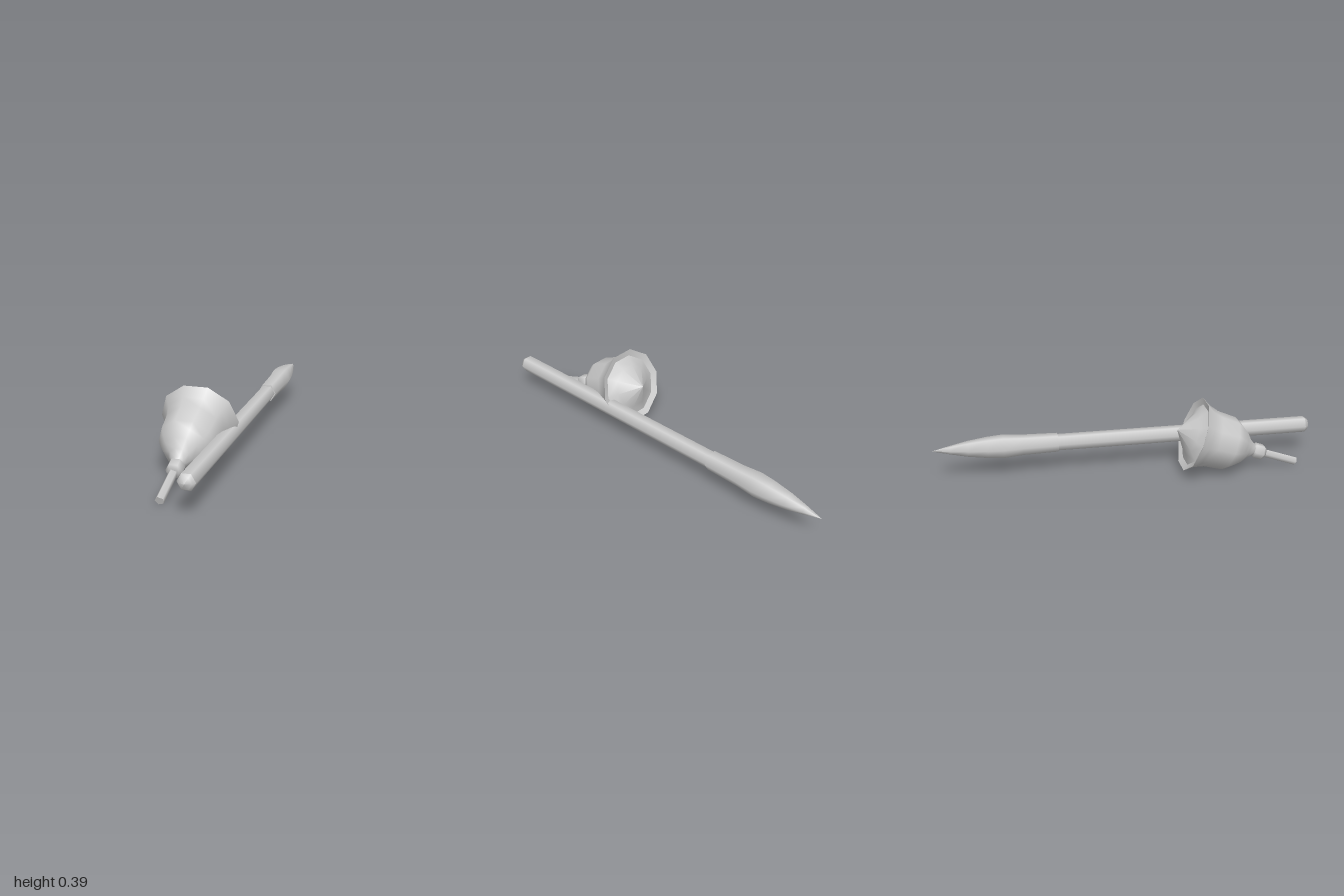
import * as THREE from 'three';

const grey = new THREE.MeshStandardMaterial({ color: 0xcccccc, side: THREE.DoubleSide });
grey.name = 'pale grey';

// Turned part: profile of [radius, distance along axis], first corner towards the given side
function turned(name, sides, profile, start = Math.PI / 2) {
  const points = profile.map(([r, t]) => new THREE.Vector2(r, t));
  const mesh = new THREE.Mesh(new THREE.LatheGeometry(points, sides, start), grey);
  mesh.name = name;
  return mesh;
}

export function createModel() {
  const model = new THREE.Group();
  model.name = 'bellAndBrush';

  // Bell, leaning forward and down; local y runs from the mouth to the stem
  const bell = new THREE.Group();
  bell.name = 'bell';
  bell.add(
    turned('bellBody', 10, [
      [0.193, 0], [0.163, 0.05], [0.147, 0.1], [0.14, 0.2],
      [0.121, 0.235], [0.095, 0.27], [0.058, 0.305], [0.037, 0.335], [0.028, 0.35],
    ]),
    // Shallow cone closing the mouth, set in a slim lip
    turned('bellFilling', 10, [[0, -0.09], [0.11, -0.012], [0.16, 0.012]]),
    turned('bellLip', 10, [[0.16, 0.012], [0.193, 0]]),
    turned('stemCollar', 6, [
      [0.026, 0.338], [0.041, 0.352], [0.041, 0.395], [0.03, 0.41], [0, 0.412],
    ]),
    turned('stem', 5, [[0.022, 0.4], [0.022, 0.594]], -Math.PI / 2),
    turned('stemEnd', 5, [[0.022, 0.594], [0, 0.594]], -Math.PI / 2),
  );
  bell.position.set(-0.013, 0.225, 0.32);
  bell.rotation.x = 1.91;
  model.add(bell);

  // Brush, lying along z with its tip to the back
  const brush = new THREE.Group();
  brush.name = 'brush';
  brush.add(
    turned('brushHandle', 6, [[0.043, -0.4], [0.043, 0.972]]),
    turned('handleEnd', 6, [[0.043, 0.972], [0.03, 0.99], [0, 1]]),
    turned('brushHead', 6, [
      [0, -1], [0.022, -0.91], [0.041, -0.82], [0.055, -0.72],
      [0.061, -0.64], [0.053, -0.54], [0.049, -0.36],
    ]),
    turned('brushHeadBase', 6, [[0.049, -0.36], [0.04, -0.36]]),
  );
  brush.position.set(0.142, 0.168, 0);
  brush.rotation.x = Math.PI / 2;
  model.add(brush);

  return model;
}
